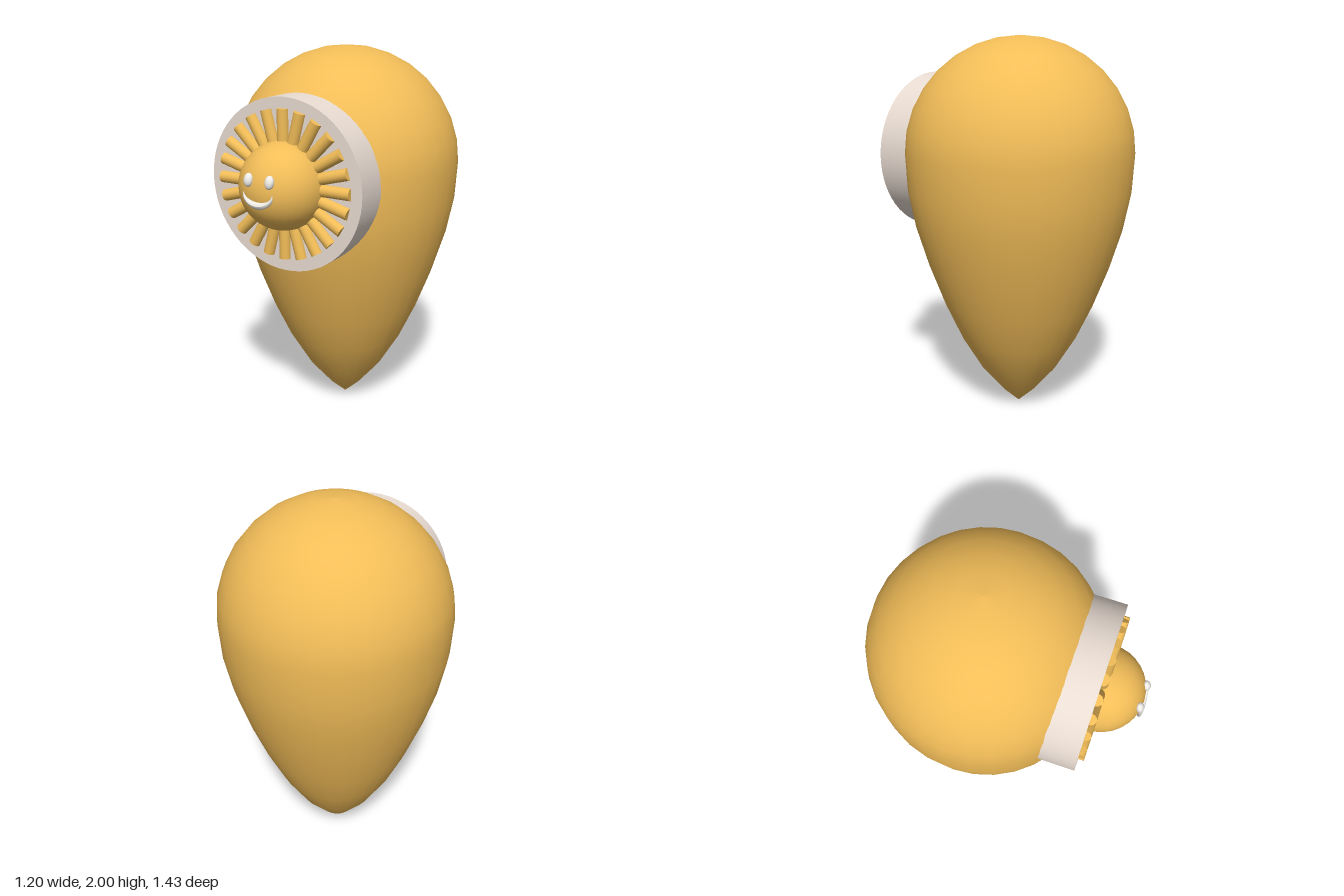
import * as THREE from 'three';

const yellow = new THREE.MeshStandardMaterial({ color: 0xf2bd58 });
const cream = new THREE.MeshStandardMaterial({ color: 0xeaddd3 });
const white = new THREE.MeshStandardMaterial({ color: 0xf0ece6 });

const FACE_Y = 1.375, FACE_Z = 0.48, HEAD_R = 0.22;

function part(name, geometry, material, x = 0, y = 0, z = 0) {
  const mesh = new THREE.Mesh(geometry, material);
  mesh.name = name;
  mesh.position.set(x, y, z);
  return mesh;
}

// Teardrop: pointed lower half joined to a round dome
function teardrop() {
  const profile = [[0, 0], [0.088, 0.08], [0.208, 0.22], [0.317, 0.4], [0.405, 0.59],
    [0.485, 0.8], [0.55, 1.01], [0.588, 1.2]].map(([r, y]) => new THREE.Vector2(r, y));
  for (let i = 0; i <= 8; i++) {
    const a = (i / 8) * Math.PI / 2;
    profile.push(new THREE.Vector2(i === 8 ? 0 : 0.6 * Math.cos(a), 1.4 + 0.6 * Math.sin(a)));
  }
  return new THREE.LatheGeometry(profile, 32);
}

// Curved tube that narrows towards both ends
function smile() {
  const points = [];
  for (let i = 0; i <= 12; i++) {
    const a = Math.PI * (1 + i / 12);
    points.push(new THREE.Vector3(0.081 * Math.cos(a), 0.058 * Math.sin(a), 0));
  }
  const curve = new THREE.CatmullRomCurve3(points);
  const segments = 32, sides = 10;
  const geometry = new THREE.TubeGeometry(curve, segments, 0.017, sides);
  const pos = geometry.attributes.position, v = new THREE.Vector3();
  for (let i = 0; i < pos.count; i++) {
    const t = Math.floor(i / (sides + 1)) / segments;
    const centre = curve.getPointAt(t);
    v.fromBufferAttribute(pos, i).sub(centre).multiplyScalar(0.1 + 0.9 * Math.sin(Math.PI * t));
    v.add(centre);
    pos.setXYZ(i, v.x, v.y, v.z);
  }
  geometry.computeVertexNormals();
  return geometry;
}

export function createModel() {
  const model = new THREE.Group();
  model.name = 'teardropWithSun';
  model.add(part('body', teardrop(), yellow, 0, 0, -0.12));

  // Round plate set into the front of the body
  const plate = new THREE.CylinderGeometry(0.43, 0.43, 0.36, 64).rotateX(Math.PI / 2);
  model.add(part('plate', plate, cream, 0, FACE_Y - 0.005, FACE_Z - 0.18));

  // Sun with a ring of rays
  const sun = new THREE.Group();
  sun.name = 'sun';
  sun.position.set(0, FACE_Y, FACE_Z);
  sun.add(part('sunHead', new THREE.SphereGeometry(HEAD_R, 32, 24), yellow));
  const rayGeometry = new THREE.CylinderGeometry(0.03, 0.03, 0.17, 16).translate(0, 0.285, 0);
  for (let i = 0; i < 24; i++) {
    const ray = part('ray', rayGeometry, yellow);
    ray.rotation.z = (i / 24) * Math.PI * 2;
    sun.add(ray);
  }

  // Eyes and mouth
  for (const side of [-1, 1]) {
    const eye = part(side > 0 ? 'leftEye' : 'rightEye', new THREE.SphereGeometry(1, 16, 12), white,
      side * 0.059, 0.062, 0.207);
    eye.scale.set(0.024, 0.033, 0.02);
    eye.rotation.x = -0.25;
    sun.add(eye);
  }
  sun.add(part('mouth', smile(), white, 0, 0.005, 0.218));

  model.add(sun);
  return model;
}
